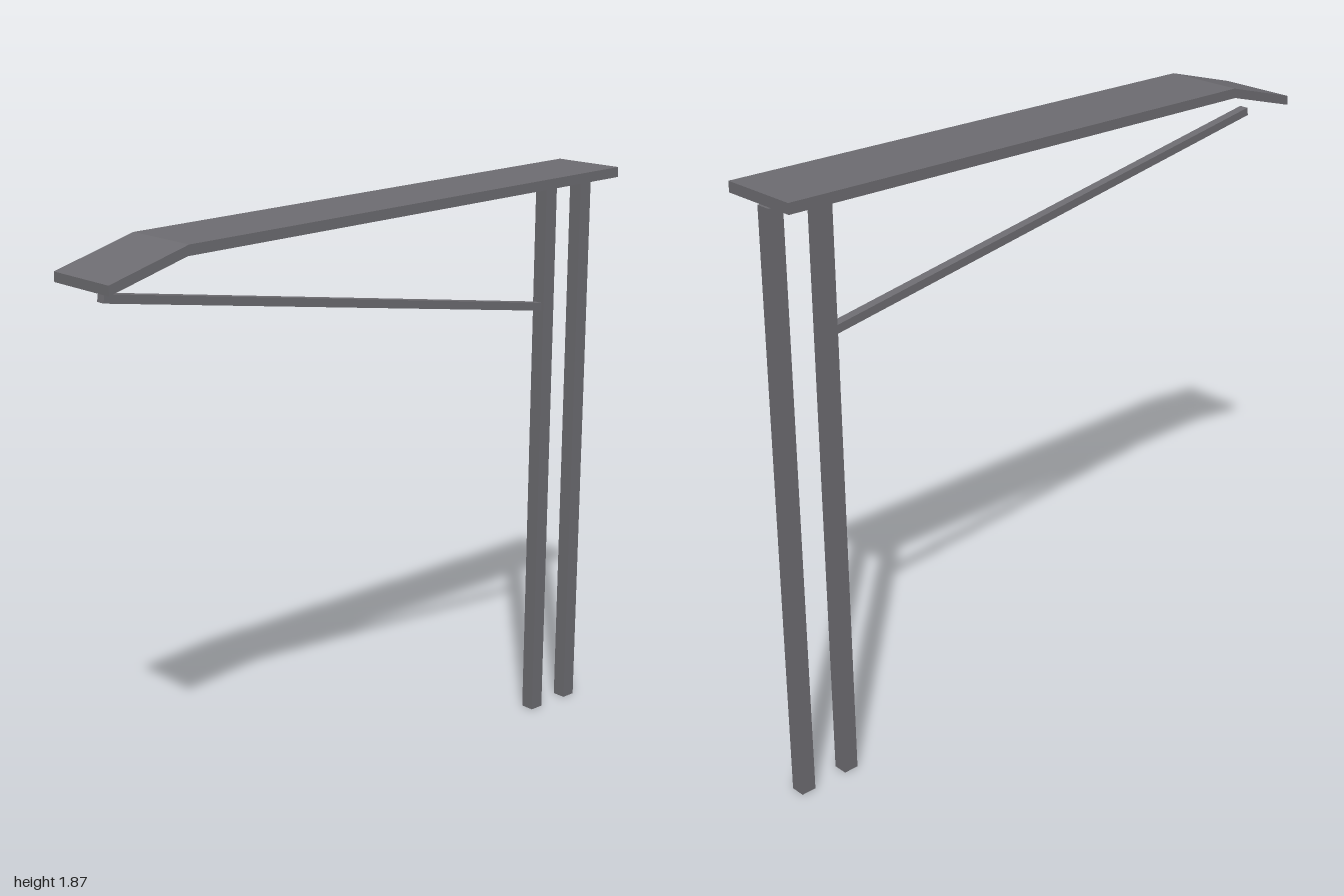
import * as THREE from 'three';

export function createModel() {
  const model = new THREE.Group();
  const steel = new THREE.MeshStandardMaterial({ color: 0x6e6d72 });
  steel.name = 'greySteel';

  // Extrudes a side profile, given as [z, y] points, across the width in x
  function addProfile(name, points, width) {
    const shape = new THREE.Shape(points.map(([z, y]) => new THREE.Vector2(-z, y)));
    const geometry = new THREE.ExtrudeGeometry(shape, { depth: width, bevelEnabled: false });
    geometry.translate(0, 0, -width / 2).rotateY(Math.PI / 2);
    const mesh = new THREE.Mesh(geometry, steel);
    mesh.name = name;
    model.add(mesh);
  }

  // Long canopy with a drooping front lip
  addProfile('canopy', [
    [-1, 1.838], [-1, 1.87], [0.735, 1.834], [1, 1.759], [1, 1.73], [0.74, 1.803],
  ], 0.254);

  // Two square posts just below the canopy
  for (const [name, z] of [['frontPost', -0.801], ['backPost', -0.963]]) {
    const post = new THREE.Mesh(new THREE.BoxGeometry(0.046, 1.826, 0.048), steel);
    post.name = name;
    post.position.set(0, 0.913, z);
    model.add(post);
  }

  // Slanted brace from the front post to the lip
  addProfile('brace', [
    [-0.778, 1.412], [-0.778, 1.438], [0.937, 1.71], [0.941, 1.685],
  ], 0.03);

  return model;
}
